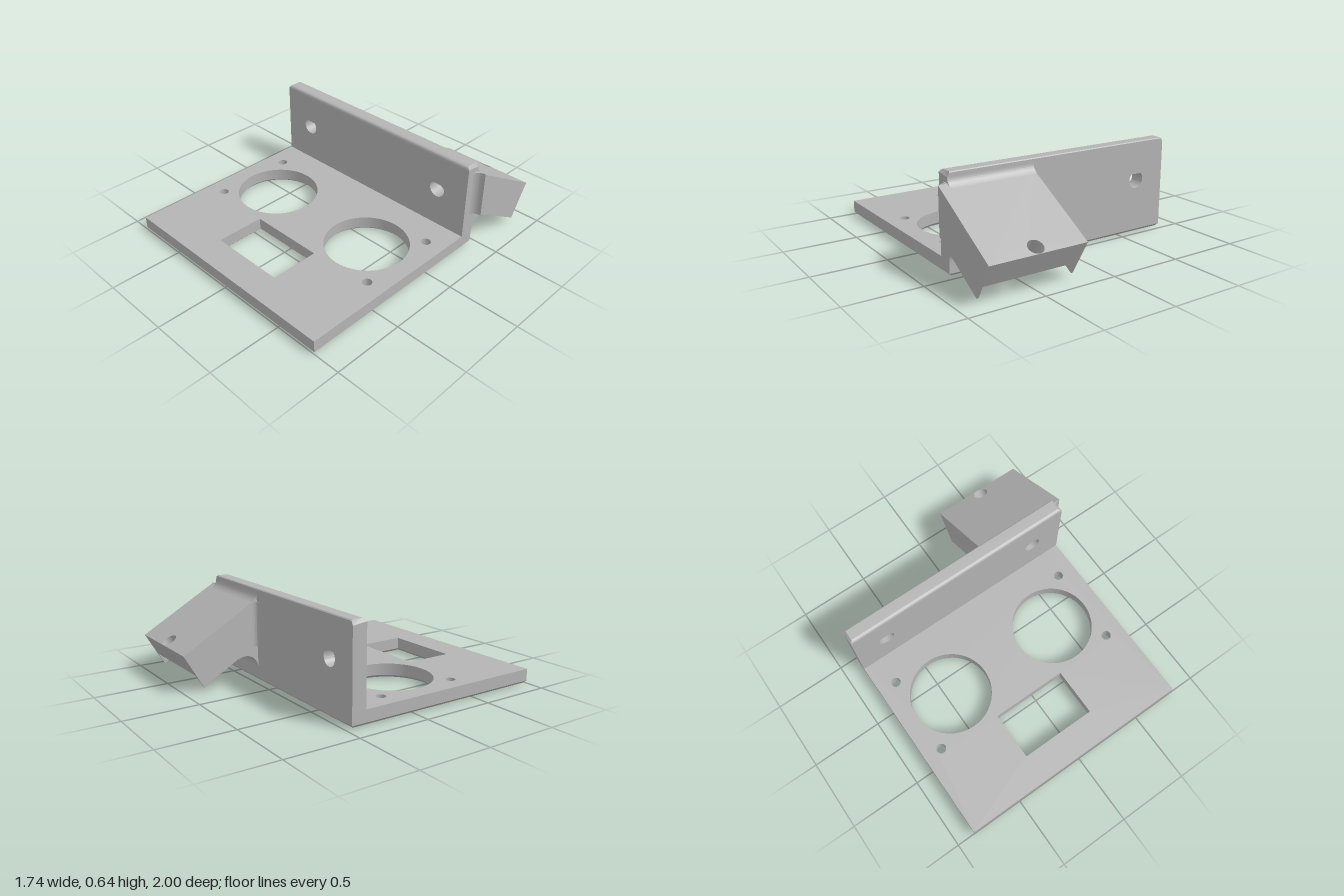
import * as THREE from 'three';
import { toCreasedNormals } from 'three/addons/utils/BufferGeometryUtils.js';

const V = (x, y) => new THREE.Vector2(x, y);
const X0 = -0.87, X1 = 0.81;          // plate and wall ends
const BACK = -0.46, FACE = -0.36;     // wall back and front
const A0 = 0.21, A1 = 0.87;           // arm sides

const solid = (shape, depth) =>
  new THREE.ExtrudeGeometry(shape, { depth, bevelEnabled: false, curveSegments: 32 });

// profile in (z, y), extruded from x0 to x1
const alongX = (shape, x0, x1) => solid(shape, x1 - x0).rotateY(-Math.PI / 2).translate(x1, 0, 0);
// outline in (x, z), extruded from y0 up to y1
const alongY = (shape, y0, y1) => solid(shape, y1 - y0).rotateX(Math.PI / 2).translate(0, y1, 0);

function rect(x0, z0, x1, z1) {
  return [V(x0, z0), V(x1, z0), V(x1, z1), V(x0, z1)];
}

function circleHole(x, y, r) {
  const p = new THREE.Path();
  p.absarc(x, y, r, 0, Math.PI * 2, true);
  return p;
}

// base outline, inset by c with its openings widened by c
function baseShape(c) {
  const s = new THREE.Shape(rect(X0 + c, BACK + c, X1 - c, 1 - c));
  for (const x of [-0.47, 0.405]) s.holes.push(circleHole(x, 0.135, 0.285 + c));
  for (const x of [-0.74, 0.675])
    for (const z of [-0.15, 0.42]) s.holes.push(circleHole(x, z, 0.033 + c));
  s.holes.push(new THREE.Path(rect(-0.3 - c, 0.455 - c, 0.24 + c, 0.795 + c).reverse()));
  return s;
}

// sloped strips joining the full outline at height h to the inset one at y = 0
function chamferStrips(c, h) {
  const loops = s => { const e = s.extractPoints(32); return [e.shape, ...e.holes]; };
  const top = loops(baseShape(0)), bottom = loops(baseShape(c));
  const pos = [];
  top.forEach((loop, k) => loop.forEach((a, i) => {
    const j = (i + 1) % loop.length;
    const b = loop[j], p = bottom[k][i], q = bottom[k][j];
    pos.push(a.x, h, a.y, b.x, h, b.y, p.x, 0, p.y);
    pos.push(b.x, h, b.y, q.x, 0, q.y, p.x, 0, p.y);
  }));
  const g = new THREE.BufferGeometry();
  g.setAttribute('position', new THREE.Float32BufferAttribute(pos, 3));
  g.computeVertexNormals();
  return g;
}

// round hole with a pointed roof
function teardrop(x, y, r) {
  const p = new THREE.Path();
  p.moveTo(x, y + r * Math.SQRT2);
  p.absarc(x, y, r, Math.PI / 4, Math.PI * 3 / 4, true);
  p.closePath();
  return p;
}

export function createModel() {
  const grey = new THREE.MeshStandardMaterial({ color: 0xb4b4b4 });
  grey.name = 'grey';
  const model = new THREE.Group();
  model.name = 'mountingBracket';
  const add = (parent, name, geo) => {
    const m = new THREE.Mesh(toCreasedNormals(geo, 0.5), grey);
    m.name = name;
    parent.add(m);
  };

  // base plate with chamfered underside
  const c = 0.018;
  add(model, 'basePlate', alongY(baseShape(0), c, 0.1));
  add(model, 'baseChamfer', chamferStrips(c, c));
  add(model, 'baseUnderside', new THREE.ShapeGeometry(baseShape(c), 32).rotateX(Math.PI / 2));

  // upright wall with two teardrop holes
  const wall = new THREE.Shape(rect(X0, 0.1, X1, 0.61));
  wall.holes.push(teardrop(-0.64, 0.373, 0.058), teardrop(0.575, 0.373, 0.058));
  add(model, 'wall', solid(wall, FACE - BACK).translate(0, 0, BACK));

  // rounded top edge of the wall
  const r = 0.022;
  const cap = new THREE.Shape();
  cap.moveTo(BACK, 0.61);
  cap.lineTo(FACE, 0.61);
  cap.lineTo(FACE, 0.64 - r);
  cap.absarc(FACE - r, 0.64 - r, r, 0, Math.PI / 2, false);
  cap.lineTo(BACK + 0.006, 0.64);
  cap.lineTo(BACK, 0.634);
  const capGeo = alongX(cap, X0, X1);
  const cp = capGeo.attributes.position;
  for (let i = 0; i < cp.count; i++) {
    const over = Math.max(0, cp.getY(i) - 0.622);
    cp.setX(i, cp.getX(i) - Math.sign(cp.getX(i)) * over);
  }
  capGeo.computeVertexNormals();
  add(model, 'wallTopEdge', capGeo);

  // tilted arm, its origin on the upper far edge and +z running up to the wall
  const arm = new THREE.Group();
  arm.name = 'arm';
  arm.position.set(0, 0.26, -1);
  arm.rotation.x = -Math.PI / 6;
  model.add(arm);
  const roof = -0.173, low = -0.267, lip = 0.014, rootZ = 0.31;

  // cut the inner end of an arm piece so that it meets the wall
  const meetWall = g => {
    const p = g.attributes.position;
    for (let i = 0; i < p.count; i++)
      if (p.getZ(i) > 0.4) p.setZ(i, (1 + BACK + 0.5 * p.getY(i)) / Math.cos(Math.PI / 6));
    g.computeVertexNormals();
    return g;
  };
  const slab = new THREE.Shape(rect(A0, 0, A1, 0.6));
  slab.holes.push(circleHole(0.54, 0.053, 0.051));
  add(arm, 'armSlab', meetWall(alongY(slab, roof, 0)));
  add(arm, 'armRoot', meetWall(alongY(new THREE.Shape(rect(A0, rootZ, A1, 0.6)), low, roof)));
  for (const x of [A0, A1 - lip])
    add(arm, 'armSideLip', alongY(new THREE.Shape(rect(x, 0, x + lip, rootZ)), low, roof));

  // concave fillet under the arm
  const under = new THREE.Shape();
  under.moveTo(BACK, 0.09);
  under.absarc(BACK - 0.097, 0.09, 0.097, 0, Math.PI * 2 / 3, false);
  under.lineTo(-0.6, 0.19);
  under.lineTo(BACK, 0.275);
  add(model, 'lowerFillet', alongX(under, A0, X1));

  // concave fillet above the arm
  const over = new THREE.Shape();
  over.moveTo(BACK, 0.55);
  over.lineTo(BACK, 0.61);
  over.quadraticCurveTo(BACK, 0.57, -0.512, 0.541);
  over.lineTo(-0.512, 0.53);
  add(model, 'upperFillet', alongX(over, A0, X1));

  // concave fillets beside the arm
  const outer = new THREE.Shape();
  outer.moveTo(X1, BACK);
  outer.lineTo(A1, BACK);
  outer.quadraticCurveTo(X1 + 0.01, BACK + 0.005, X1, -0.415);
  add(model, 'outerFillet', alongY(outer, 0.255, 0.575));
  const inner = new THREE.Shape();
  inner.moveTo(A0, BACK);
  inner.lineTo(A0 - 0.04, BACK);
  inner.quadraticCurveTo(A0, BACK, A0, BACK - 0.04);
  add(model, 'innerFillet', alongY(inner, 0.245, 0.55));

  return model;
}
